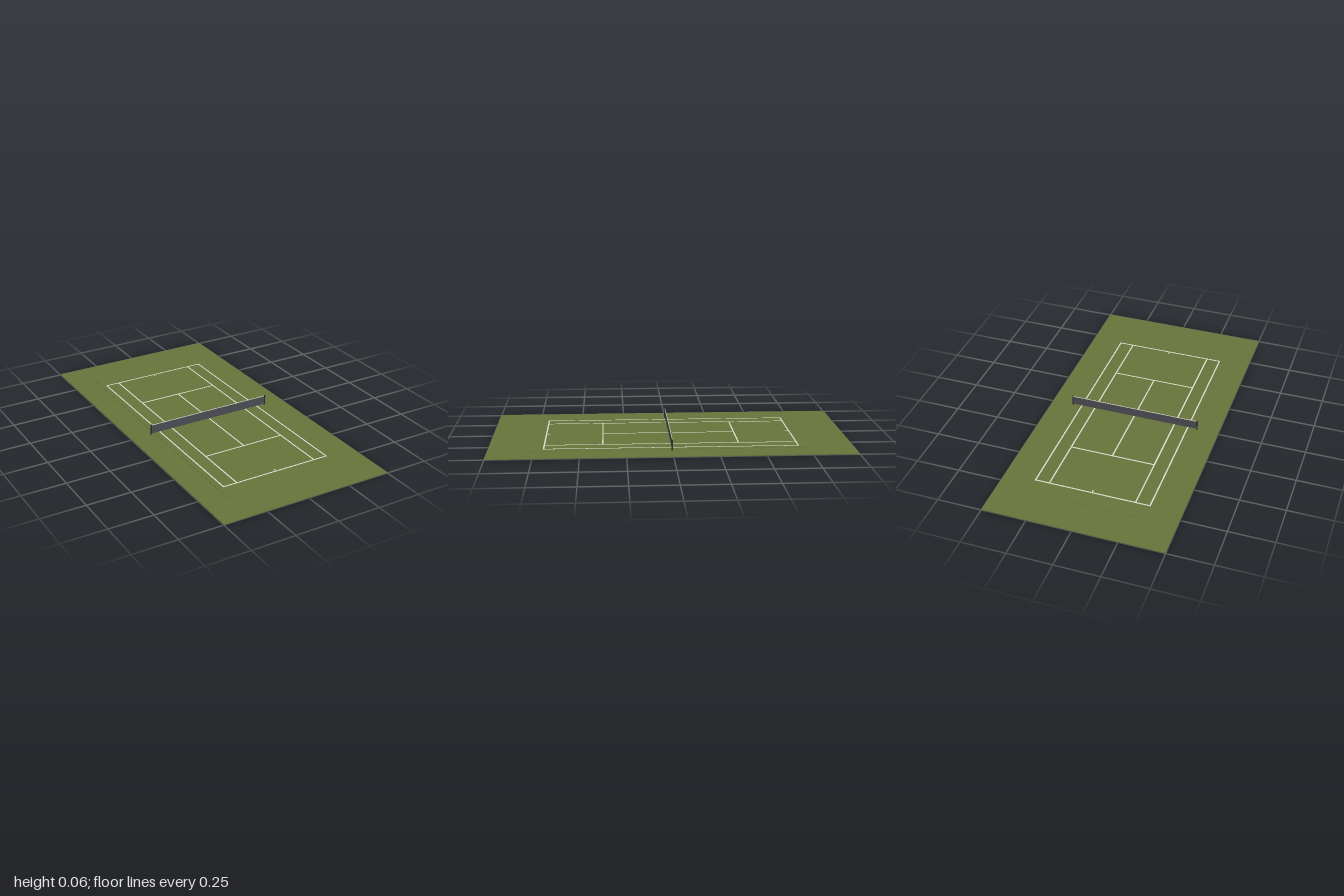
import * as THREE from 'three';

const mat = (name, color) => {
  const m = new THREE.MeshStandardMaterial({ color });
  m.name = name;
  return m;
};

export function createModel() {
  const green = mat('courtGreen', 0x66743a);
  const white = mat('lineWhite', 0xdad8cc);
  const netGrey = mat('netGrey', 0x4a4a52);
  const postDark = mat('postDark', 0x2a2c30);
  const model = new THREE.Group();
  model.name = 'tennisCourt';

  // Box given by its size, bottom height and centre on the ground
  const box = (parent, name, material, w, h, d, x, bottom, z) => {
    const mesh = new THREE.Mesh(new THREE.BoxGeometry(w, h, d), material);
    mesh.name = name;
    mesh.position.set(x, bottom + h / 2, z);
    parent.add(mesh);
    return mesh;
  };

  // Ground slab with the slightly raised playing surface
  const courtTop = 0.006;
  box(model, 'groundSlab', green, 1, 0.004, 2, 0, 0, 0);
  box(model, 'playingSurface', green, 0.714, courtTop - 0.004, 1.6, 0, 0.004, 0);

  // Painted court lines
  const lines = new THREE.Group();
  lines.name = 'courtLines';
  model.add(lines);
  const t = 0.008, halfW = 0.322, halfL = 0.698, singles = 0.242, service = 0.376;
  const line = (name, w, d, x, z) => box(lines, name, white, w, 0.0008, d, x, courtTop, z);
  for (const s of [-1, 1]) {
    line('doublesSideline', t, halfL * 2 + t, s * halfW, 0);
    line('singlesSideline', t, halfL * 2 - t, s * singles, 0);
    line('baseline', halfW * 2 - t, t, 0, s * halfL);
    line('serviceLine', singles * 2 - t, t, 0, s * service);
    line('centreMark', 0.006, 0.018, 0, s * (halfL - 0.013));
  }
  line('centreServiceLine', t, service * 2 - t, 0, 0);

  // Net with its top tape, hung between two posts
  const net = new THREE.Group();
  net.name = 'net';
  model.add(net);
  box(net, 'netMesh', netGrey, 0.748, 0.05, 0.002, 0, 0.0095, 0);
  box(net, 'netTape', white, 0.748, 0.0025, 0.003, 0, 0.0595, 0);
  for (const s of [-1, 1]) {
    const post = new THREE.Mesh(new THREE.CylinderGeometry(0.004, 0.004, 0.06, 12), postDark);
    post.name = s > 0 ? 'leftPost' : 'rightPost';
    post.position.set(s * 0.376, 0.034, 0);
    net.add(post);
  }
  return model;
}
